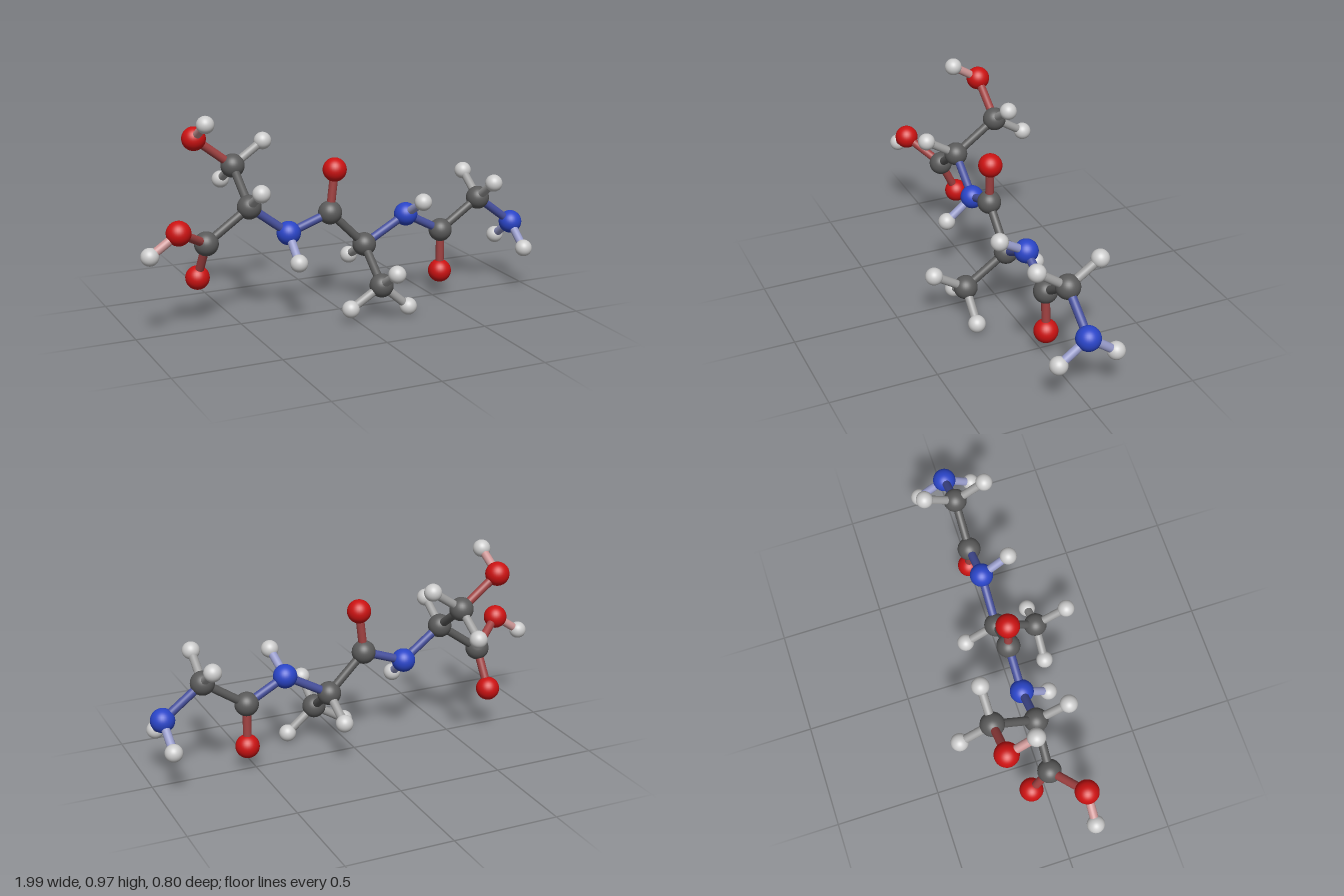
import * as THREE from 'three';

// Atom kinds: ball radius, colour and a plain name
const KINDS = {
  C: { name: 'carbon', radius: 0.056, color: 0x5a5a5a },
  O: { name: 'oxygen', radius: 0.056, color: 0xcc1212 },
  N: { name: 'nitrogen', radius: 0.056, color: 0x2a45c8 },
  H: { name: 'hydrogen', radius: 0.041, color: 0xcccccc },
};
const BOND_RADIUS = 0.02;

// Each atom: id, kind, position, id of the atom it is bonded to
const ATOMS = [
  // amine end
  ['n3', 'N', [0.937, 0.322, -0.008], null],
  ['n3a', 'H', [0.934, 0.221, 0.127], 'n3'],
  ['n3b', 'H', [0.934, 0.221, -0.146], 'n3'],
  ['c8', 'C', [0.745, 0.467, -0.006], 'n3'],
  ['c8a', 'H', [0.745, 0.571, 0.142], 'c8'],
  ['c8b', 'H', [0.745, 0.571, -0.156], 'c8'],
  ['c7', 'C', [0.539, 0.328, -0.004], 'c8'],
  ['o5', 'O', [0.542, 0.12, -0.008], 'c7'],
  // middle unit with methyl side group
  ['n2', 'N', [0.347, 0.43, 0], 'c7'],
  ['n2a', 'H', [0.366, 0.518, 0.14], 'n2'],
  ['c5', 'C', [0.128, 0.307, 0], 'n2'],
  ['c5a', 'H', [0.12, 0.214, -0.157], 'c5'],
  ['c6', 'C', [0.121, 0.162, 0.201], 'c5'],
  ['c6a', 'H', [-0.035, 0.067, 0.199], 'c6'],
  ['c6b', 'H', [0.259, 0.043, 0.205], 'c6'],
  ['c6c', 'H', [0.121, 0.259, 0.357], 'c6'],
  ['c4', 'C', [-0.051, 0.483, 0.004], 'c5'],
  ['o4', 'O', [-0.029, 0.686, 0.008], 'c4'],
  // end unit with alcohol side group
  ['n1', 'N', [-0.259, 0.408, 0.002], 'c4'],
  ['n1a', 'H', [-0.264, 0.299, 0.134], 'n1'],
  ['c2', 'C', [-0.451, 0.553, 0.004], 'n1'],
  ['c2a', 'H', [-0.451, 0.648, 0.156], 'c2'],
  ['c3', 'C', [-0.451, 0.702, -0.202], 'c2'],
  ['c3a', 'H', [-0.299, 0.805, -0.207], 'c3'],
  ['c3b', 'H', [-0.457, 0.604, -0.357], 'c3'],
  ['o3', 'O', [-0.638, 0.846, -0.197], 'c3'],
  ['o3a', 'H', [-0.628, 0.933, -0.062], 'o3'],
  // acid end
  ['c1', 'C', [-0.659, 0.406, 0.002], 'c2'],
  ['o2', 'O', [-0.675, 0.224, -0.086], 'c1'],
  ['o1', 'O', [-0.825, 0.504, 0.12], 'c1'],
  ['o1a', 'H', [-0.958, 0.414, 0.12], 'o1'],
];

export function createModel() {
  const model = new THREE.Group();
  model.name = 'molecule';
  const atoms = new THREE.Group();
  atoms.name = 'atoms';
  const bonds = new THREE.Group();
  bonds.name = 'bonds';
  model.add(atoms, bonds);

  // One ball and one material per kind, shared by all its atoms
  const stock = {};
  for (const [key, { radius, color }] of Object.entries(KINDS)) {
    stock[key] = {
      geometry: new THREE.SphereGeometry(radius, 32, 20),
      material: new THREE.MeshStandardMaterial({ color }),
    };
  }

  // Bond colour is halfway between the colours of the two atoms it joins
  const bondMaterials = {};
  const bondMaterial = (a, b) => {
    const key = [a, b].sort().join('');
    bondMaterials[key] ??= new THREE.MeshStandardMaterial({
      color: stock[a].material.color.clone().lerp(stock[b].material.color, 0.5),
    });
    return bondMaterials[key];
  };

  const up = new THREE.Vector3(0, 1, 0);
  const placed = {};
  for (const [id, kind, position, parentId] of ATOMS) {
    const ball = new THREE.Mesh(stock[kind].geometry, stock[kind].material);
    ball.name = KINDS[kind].name + 'Atom';
    ball.position.set(...position);
    atoms.add(ball);
    placed[id] = { kind, point: ball.position };
    if (!parentId) continue;

    // Rod from the parent's centre to this atom's centre
    const parent = placed[parentId];
    const span = ball.position.clone().sub(parent.point);
    const rod = new THREE.Mesh(
      new THREE.CylinderGeometry(BOND_RADIUS, BOND_RADIUS, span.length(), 24, 1, true),
      bondMaterial(kind, parent.kind),
    );
    rod.name = KINDS[parent.kind].name + 'To' + KINDS[kind].name + 'Bond';
    rod.position.copy(parent.point).addScaledVector(span, 0.5);
    rod.quaternion.setFromUnitVectors(up, span.normalize());
    bonds.add(rod);
  }
  return model;
}
